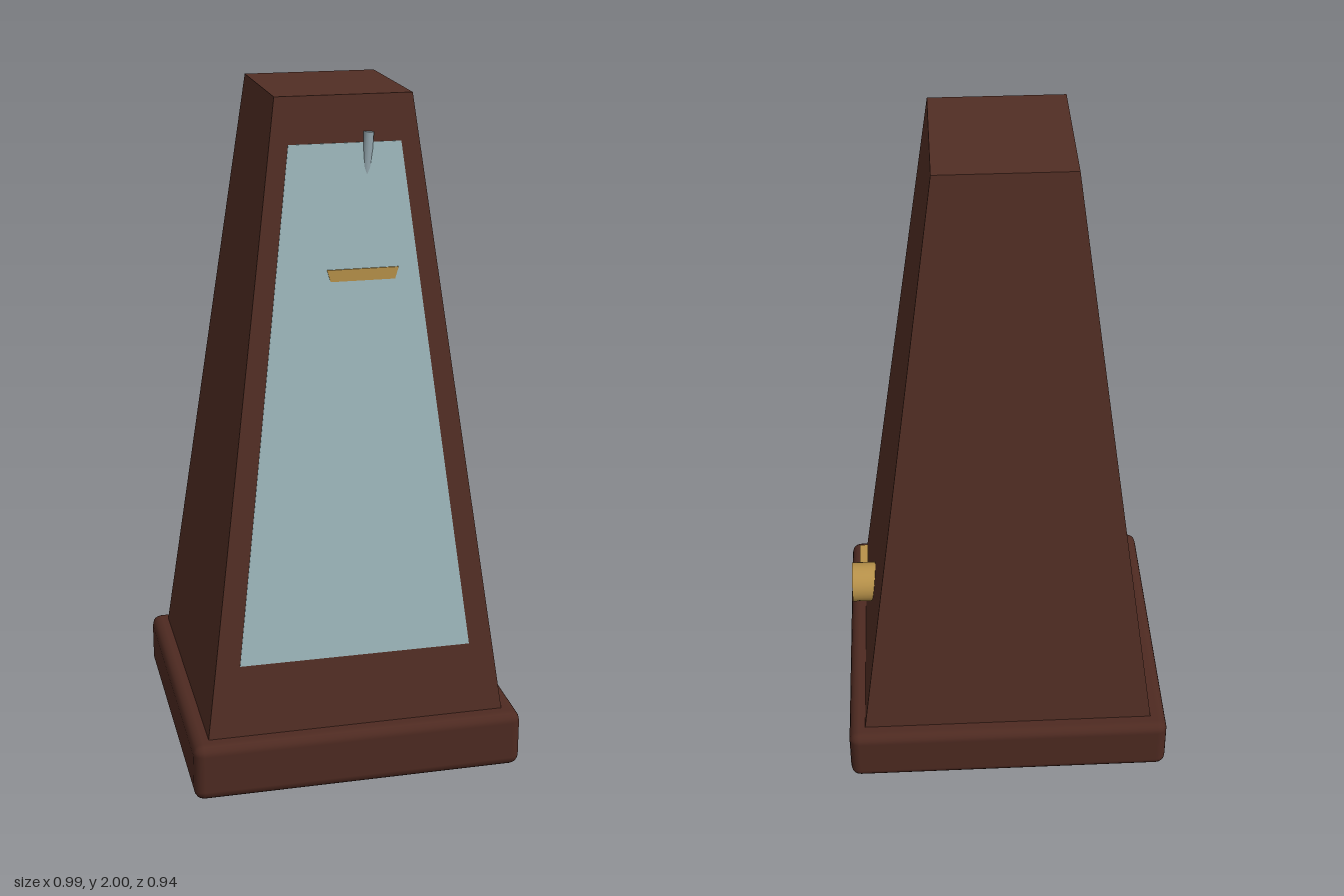
import * as THREE from 'three';
import { RoundedBoxGeometry } from 'three/addons/geometries/RoundedBoxGeometry.js';

const material = (name, color) => {
  const m = new THREE.MeshStandardMaterial({ color });
  m.name = name;
  return m;
};

// Depth of the sloping front face at height y
const faceZ = (y) => 0.42 - 0.2 * (y - 0.18) / 1.82;

// Box whose half width and front/back depth change between y0 and y1
function taperedBox(y0, y1, halfWidth0, halfWidth1, back, front) {
  const g = new THREE.BoxGeometry(1, 1, 1);
  const p = g.attributes.position;
  for (let i = 0; i < p.count; i++) {
    const top = p.getY(i) > 0;
    const y = top ? y1 : y0;
    const w = top ? halfWidth1 : halfWidth0;
    p.setXYZ(i, Math.sign(p.getX(i)) * w, y, p.getZ(i) > 0 ? front(y) : back(y));
  }
  g.computeVertexNormals();
  return g;
}

export function createModel() {
  const model = new THREE.Group();
  model.name = 'metronome';

  const wood = material('dark wood', 0x522e24);
  const baseWood = material('base wood', 0x4e2a21);
  const glass = material('pale glass', 0x9db7bc);
  const brass = material('brass', 0xb8924a);
  const steel = material('steel', 0x93a5ac);

  const add = (name, geometry, mat, x = 0, y = 0, z = 0, parent = model) => {
    const mesh = new THREE.Mesh(geometry, mat);
    mesh.name = name;
    mesh.position.set(x, y, z);
    parent.add(mesh);
    return mesh;
  };

  // Rounded plinth and tapering case
  add('base', new RoundedBoxGeometry(0.99, 0.175, 0.94, 2, 0.03), baseWood, 0, 0.0925 - 0.005, 0);
  add('case', taperedBox(0.17, 2, 0.446, 0.195, (y) => -faceZ(y), faceZ), wood);

  // Thin front window lying on the slope
  add('frontWindow', taperedBox(0.39, 1.87, 0.345, 0.16,
    (y) => faceZ(y) - 0.003, (y) => faceZ(y) + 0.002), glass);

  // Pendulum, mostly sunk into the case
  const rod = add('pendulumRod', new THREE.CylinderGeometry(0.015, 0.015, 1.4, 12), steel, 0.024, 1.2, 0.231);
  rod.rotation.z = -0.063;
  add('pendulumWeight', taperedBox(-0.017, 0.017, 0.093, 0.103, () => -0.06, () => 0), brass, 0.043, 1.506, 0.2785);

  // Winding key on the side
  const key = new THREE.Group();
  key.name = 'windingKey';
  key.position.set(0.435, 0.437, -0.037);
  model.add(key);
  const knob = add('keyKnob', new THREE.CylinderGeometry(0.062, 0.062, 0.08, 24), brass, 0, 0, 0, key);
  knob.rotation.z = Math.PI / 2;
  add('keyHandle', new THREE.BoxGeometry(0.026, 0.032, 0.12), brass, 0.005, 0, 0.1, key);

  return model;
}
